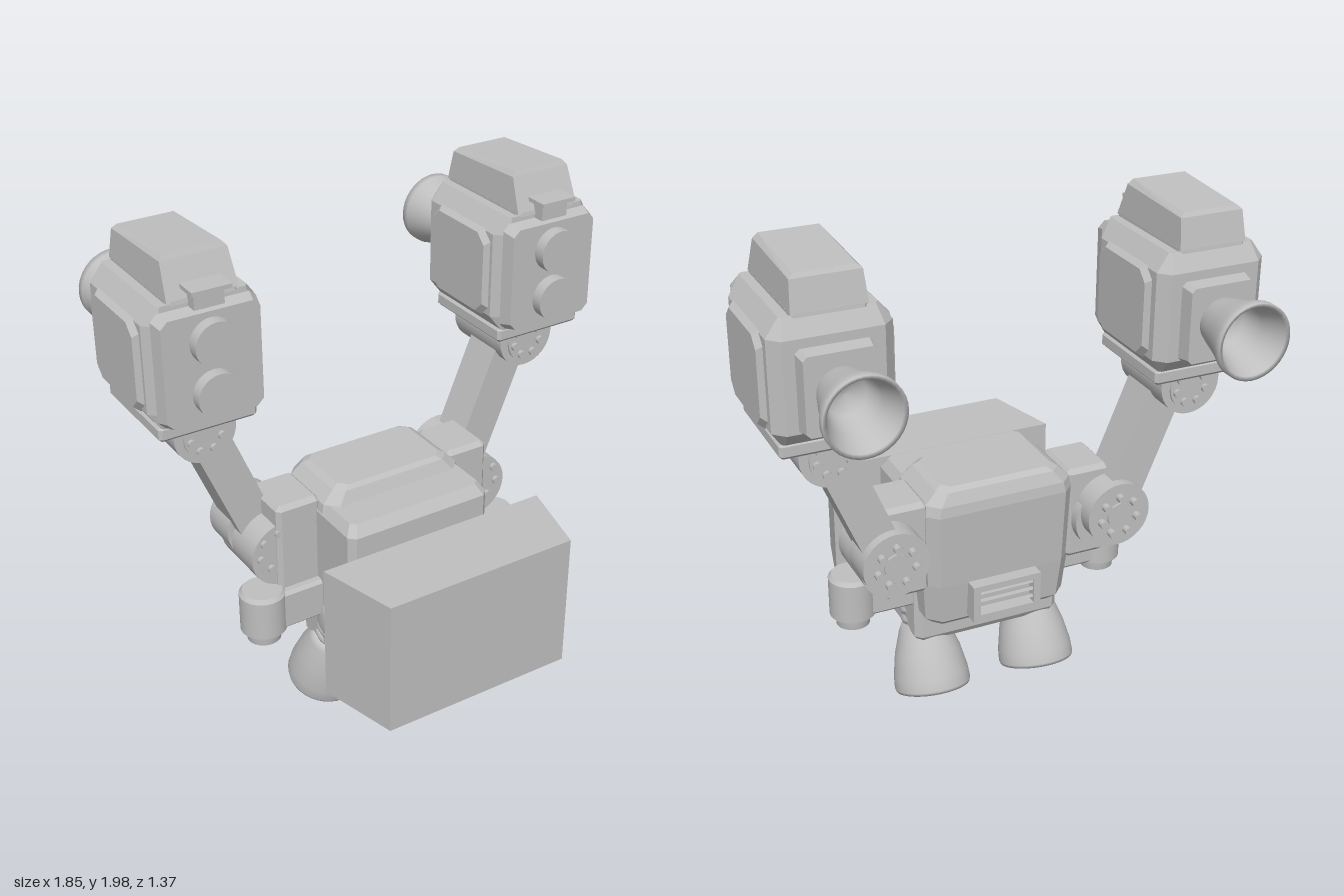
import * as THREE from 'three';
import { ConvexGeometry } from 'three/addons/geometries/ConvexGeometry.js';

const grey = new THREE.MeshStandardMaterial({ color: 0xbfbfbf });
grey.name = 'plain grey';
const greyOpen = grey.clone();
greyOpen.side = THREE.DoubleSide;

function add(parent, name, geo, x = 0, y = 0, z = 0, mat = grey) {
  const m = new THREE.Mesh(geo, mat);
  m.name = name;
  m.position.set(x, y, z);
  parent.add(m);
  return m;
}

const box = (w, h, d) => new THREE.BoxGeometry(w, h, d);

// Faceted solid through stacked eight-sided rings: [y, half width, z back, z front, corner cut]
function hull(rings) {
  const pts = [];
  for (const [y, hx, z0, z1, c] of rings)
    for (const s of [-1, 1])
      pts.push(
        new THREE.Vector3(s * hx, y, z0 + c), new THREE.Vector3(s * (hx - c), y, z0),
        new THREE.Vector3(s * hx, y, z1 - c), new THREE.Vector3(s * (hx - c), y, z1));
  return new ConvexGeometry(pts);
}

// Box centred on the origin with cut edges
function cutBox(w, h, d, c) {
  const x = w / 2, y = h / 2, z = d / 2, e = c * 0.9;
  return hull([[-y, x - c, c - z, z - c, e * 0.2], [c - y, x, -z, z, e],
    [y - c, x, -z, z, e], [y, x - c, c - z, z - c, e * 0.2]]);
}

// Raised eight-sided plate, growing along +y
const plate = (hx, hz, t, c, inset) =>
  hull([[0, hx, -hz, hz, c], [t, hx - inset, inset - hz, hz - inset, c]]);

// Cylinder along z
const disc = (r, d, n = 32) => new THREE.CylinderGeometry(r, r, d, n).rotateX(Math.PI / 2);

// Ring of bolts around a hub, facing along z
function bolts(parent, x, y, z, ring) {
  const g = new THREE.Group();
  g.name = 'bolts';
  g.position.set(x, y, z);
  for (let i = 0; i < 7; i++) {
    const a = (i / 7) * Math.PI * 2 + Math.PI / 2;
    add(g, 'bolt', disc(0.016, 0.03, 10), Math.cos(a) * ring, Math.sin(a) * ring, 0);
  }
  parent.add(g);
}

const lathe = (pts) => new THREE.LatheGeometry(pts.map(([r, y]) => new THREE.Vector2(r, y)), 36);

function pod(s) {
  const g = new THREE.Group();
  g.name = 'pod';
  g.position.x = s * 0.695;

  // casing and its covers
  add(g, 'podBase', cutBox(0.37, 0.06, 0.41, 0.012), 0, 1.38, -0.165);
  add(g, 'podCasing', hull([
    [1.405, 0.175, -0.37, 0.045, 0.01], [1.46, 0.212, -0.42, 0.055, 0.04],
    [1.785, 0.212, -0.42, 0.055, 0.04], [1.85, 0.165, -0.385, 0.05, 0.01]]));
  for (const k of [-1, 1])
    add(g, 'sidePanel', plate(0.172, 0.178, 0.022, 0.04, 0.016).rotateZ(-k * Math.PI / 2),
      k * 0.21, 1.62, -0.175);
  add(g, 'frontPanel', plate(0.192, 0.208, 0.05, 0.025, 0.012).rotateX(Math.PI / 2), 0, 1.622, 0.05);
  add(g, 'podCap', hull([
    [1.845, 0.13, -0.395, 0.055, 0.015], [1.86, 0.13, -0.393, 0.052, 0.015]])
  );
  const cap = [[-0.13, 1.855, -0.392], [-0.13, 1.855, 0.052], [-0.122, 1.965, -0.37],
    [-0.122, 1.98, 0.0], [-0.105, 1.98, -0.36], [-0.105, 2.0, -0.01]];
  add(g, 'podCapTop', new ConvexGeometry(cap.flatMap(([x, y, z]) =>
    [new THREE.Vector3(x, y, z), new THREE.Vector3(-x, y, z)])));

  // lenses and sight
  for (const y of [1.715, 1.527]) add(g, 'lens', disc(0.082, 0.055, 40), 0, y, 0.1175);
  add(g, 'sightFoot', box(0.11, 0.06, 0.06), 0, 1.86, 0.065);
  add(g, 'sightTop', box(0.145, 0.015, 0.09), 0, 1.898, 0.075);

  // rear thruster
  add(g, 'thrusterMount', plate(0.132, 0.148, 0.06, 0.015, 0.008).rotateX(-Math.PI / 2), 0, 1.605, -0.415);
  add(g, 'rearNozzle', lathe([[0, 0.02], [0.07, 0.03], [0.095, 0.11], [0.125, 0.205], [0.14, 0.21],
    [0.14, 0.18], [0.118, 0.12], [0.1, 0.05], [0.086, 0]].reverse()).rotateX(-Math.PI / 2),
  0, 1.61, -0.475, greyOpen);
  return g;
}

function arm(s) {
  const g = new THREE.Group();
  g.name = 'arm';

  // shoulder
  add(g, 'shoulderBlock', cutBox(0.18, 0.375, 0.22, 0.018), s * 0.37, 0.77, -0.05);
  add(g, 'shoulderDrum', disc(0.13, 0.24), s * 0.43, 0.75, -0.08);
  add(g, 'shoulderHub', disc(0.128, 0.145), s * 0.447, 0.79, -0.19);
  bolts(g, s * 0.447, 0.79, -0.275, 0.075);
  bolts(g, s * 0.45, 0.77, 0.04, 0.075);
  add(g, 'shoulderCap', disc(0.05, 0.012), s * 0.447, 0.79, -0.266);

  // limb
  const a = new THREE.Vector2(0.46, 0.79), b = new THREE.Vector2(0.672, 1.305);
  const limb = add(g, 'limb', box(0.142, a.distanceTo(b), 0.16),
    s * (a.x + b.x) / 2, (a.y + b.y) / 2, -0.145);
  limb.rotation.z = -s * Math.atan2(b.x - a.x, b.y - a.y);

  // wrist
  add(g, 'wristDrum', disc(0.119, 0.3), s * 0.685, 1.31, -0.17);
  add(g, 'wristSaddle', box(0.238, 0.06, 0.3), s * 0.685, 1.335, -0.17);
  for (const z of [-0.322, -0.018]) {
    add(g, 'wristHub', disc(0.085, 0.012), s * 0.685, 1.3, z);
    bolts(g, s * 0.685, 1.3, z + Math.sign(z + 0.17) * 0.005, 0.06);
  }

  // small side thruster
  add(g, 'thrusterArm', cutBox(0.24, 0.16, 0.13, 0.012), s * 0.39, 0.53, 0.03);
  add(g, 'sideThruster', lathe([[0, 0.45], [0.0875, 0.45], [0.0875, 0.45], [0.0875, 0.605],
    [0.0875, 0.605], [0.075, 0.62], [0.075, 0.62], [0, 0.62]]), s * 0.52, 0, 0.03);
  add(g, 'sideNozzle', lathe([[0, 0.43], [0.05, 0.425], [0.055, 0.405], [0.064, 0.405], [0.064, 0.46]]),
    s * 0.52, 0, 0.03, greyOpen);
  return g;
}

// Tilted bell nozzle with a ribbed neck and a bent socket
function leg(s) {
  const g = new THREE.Group();
  g.name = 'leg';
  g.position.set(s * 0.225, 0.066, -0.035);
  g.rotation.x = 0.35;
  add(g, 'bellNozzle', lathe([[0, 0.22], [0.065, 0.21], [0.105, 0.12], [0.135, 0.005], [0.145, 0],
    [0.149, 0.012], [0.146, 0.06], [0.128, 0.15], [0.098, 0.24], [0.085, 0.265], [0, 0.27]]),
  0, 0, 0, greyOpen);
  for (let i = 0; i < 2; i++)
    add(g, 'neckRing', lathe([[0.06, 0], [0.078, 0.006], [0.085, 0.022], [0.078, 0.038], [0.06, 0.044]]),
      0, 0.262 + i * 0.04, 0);
  const socket = add(g, 'legSocket', lathe([[0, 0], [0.08, 0], [0.09, 0.02], [0.093, 0.1],
    [0.08, 0.125], [0, 0.13]]), 0, 0.335, 0.005);
  socket.rotation.x = 0.15;
  return g;
}

export function createModel() {
  const model = new THREE.Group();
  model.name = 'thrusterRig';

  // body
  add(model, 'torso', hull([[0.29, 0.28, -0.05, 0.28, 0.015], [0.315, 0.3, -0.065, 0.3, 0.025],
    [0.9, 0.3, -0.065, 0.3, 0.025], [0.94, 0.275, -0.04, 0.27, 0.02]]));
  add(model, 'backpack', hull([[0.405, 0.25, -0.13, 0.1, 0.03], [0.44, 0.285, -0.17, 0.13, 0.05],
    [0.6, 0.298, -0.185, 0.145, 0.05], [0.9, 0.298, -0.2, 0.145, 0.045],
    [0.94, 0.29, -0.195, 0.14, 0.045], [0.985, 0.245, -0.175, 0.12, 0.035], [1.0, 0.22, -0.155, 0.105, 0.03]]));

  // louvred vent on the back
  const frame = new THREE.Shape();
  frame.moveTo(-0.138, -0.075).lineTo(0.138, -0.075).lineTo(0.138, 0.075).lineTo(-0.138, 0.075);
  const hole = new THREE.Path();
  hole.moveTo(-0.11, -0.05).lineTo(-0.11, 0.05).lineTo(0.11, 0.05).lineTo(0.11, -0.05);
  frame.holes.push(hole);
  add(model, 'ventFrame', new THREE.ExtrudeGeometry(frame, { depth: 0.085, bevelEnabled: false }), 0, 0.525, -0.235);
  add(model, 'ventBack', box(0.23, 0.11, 0.03), 0, 0.525, -0.18);
  for (let i = -1; i <= 1; i++)
    add(model, 'ventSlat', box(0.22, 0.012, 0.04), 0, 0.525 + i * 0.032, -0.208).rotation.x = 0.45;

  // chest block standing in front of the body
  const wedge = new THREE.Shape();
  wedge.moveTo(-0.46, -0.38).lineTo(-0.38, -0.685).lineTo(0.38, -0.685).lineTo(0.46, -0.38);
  add(model, 'frontBlock', new THREE.ExtrudeGeometry(wedge, { depth: 0.53, bevelEnabled: false })
    .rotateX(-Math.PI / 2), 0, 0.35, 0);

  for (const s of [-1, 1]) model.add(arm(s), pod(s), leg(s));
  return model;
}
